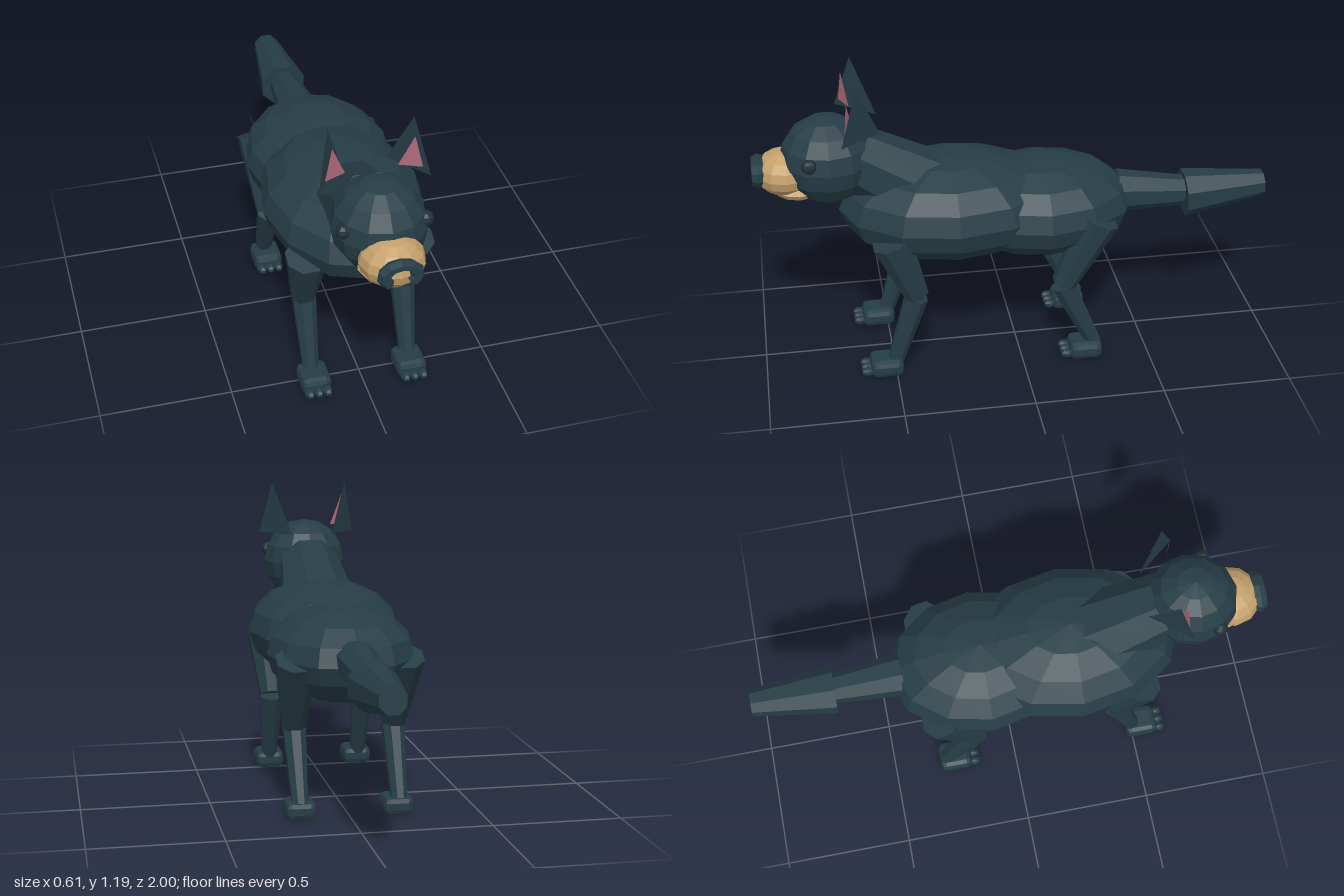
import * as THREE from 'three';
import { RoundedBoxGeometry } from 'three/addons/geometries/RoundedBoxGeometry.js';

const material = (name, color, side = THREE.FrontSide) => {
  const m = new THREE.MeshStandardMaterial({ color, side, flatShading: true });
  m.name = name;
  return m;
};

export function createModel() {
  const model = new THREE.Group();
  model.name = 'dog';
  const coat = material('coat', 0x263d46);
  const earCoat = material('earCoat', 0x263d46, THREE.DoubleSide);
  const dark = material('eyeDark', 0x1f3038);
  const tan = material('muzzleTan', 0xc4a06c);
  const pink = material('innerEar', 0xb06a7c, THREE.DoubleSide);

  const add = (parent, name, geometry, mat) => {
    const mesh = new THREE.Mesh(geometry, mat);
    mesh.name = name;
    parent.add(mesh);
    return mesh;
  };

  // Faceted ellipsoid
  const blob = (parent, name, pos, radii, mat, w = 12, h = 8) => {
    const mesh = add(parent, name, new THREE.SphereGeometry(1, w, h), mat);
    mesh.position.set(...pos);
    mesh.scale.set(...radii);
    return mesh;
  };

  // Tapered limb between two points, r0 at the start and r1 at the end
  const limb = (parent, name, from, to, r0, r1, sides = 8) => {
    const a = new THREE.Vector3(...from), b = new THREE.Vector3(...to);
    const dir = b.clone().sub(a);
    const geometry = new THREE.CylinderGeometry(r1, r0, dir.length(), sides);
    geometry.rotateY(Math.PI / sides);
    const mesh = add(parent, name, geometry, coat);
    mesh.position.copy(a).add(b).multiplyScalar(0.5);
    mesh.quaternion.setFromUnitVectors(new THREE.Vector3(0, 1, 0), dir.normalize());
    return mesh;
  };

  // Single flat triangle
  const triangle = (parent, name, points, mat) => {
    const geometry = new THREE.BufferGeometry();
    geometry.setAttribute('position', new THREE.Float32BufferAttribute(points.flat(), 3));
    geometry.computeVertexNormals();
    return add(parent, name, geometry, mat);
  };

  // Body and neck
  blob(model, 'chest', [0, 0.637, 0.25], [0.305, 0.2, 0.43], coat);
  blob(model, 'hindBody', [0, 0.607, -0.1], [0.287, 0.185, 0.36], coat);
  limb(model, 'neck', [0, 0.7, 0.36], [0, 0.86, 0.62], 0.16, 0.125);

  // Two-part tail
  limb(model, 'tailBase', [0, 0.625, -0.4], [0, 0.603, -0.67], 0.085, 0.06);
  limb(model, 'tailTip', [0, 0.592, -0.675], [0, 0.61, -0.998], 0.096, 0.052);

  // Head, muzzle and horseshoe nose
  const head = new THREE.Group();
  head.name = 'head';
  model.add(head);
  blob(head, 'skull', [0, 0.86, 0.712], [0.172, 0.172, 0.18], coat);
  blob(head, 'muzzle', [0, 0.818, 0.87], [0.118, 0.088, 0.115], tan, 12, 8);
  blob(head, 'lowerJaw', [0, 0.757, 0.825], [0.106, 0.042, 0.105], tan, 12, 6);
  const arc = Math.PI * 1.5;
  const noseGeometry = new THREE.TorusGeometry(0.058, 0.026, 6, 8, arc);
  noseGeometry.rotateZ(Math.PI / 2 - arc / 2);
  const nose = add(head, 'nose', noseGeometry, coat);
  nose.position.set(0, 0.826, 0.972);
  nose.scale.set(1, 0.72, 1.05);

  for (const s of [1, -1]) {
    const side = s > 0 ? 'left' : 'right';
    blob(head, side + 'Eye', [s * 0.147, 0.9, 0.785], [0.028, 0.028, 0.03], dark, 8, 6);

    // Ears turned inward, with a pink inner face standing just in front
    triangle(head, side + 'Ear',
      [[s * 0.083, 0.987, 0.518], [s * 0.2, 0.987, 0.667], [s * 0.154, 1.197, 0.603]], earCoat);
    triangle(head, side + 'InnerEar',
      [[s * 0.095, 1.018, 0.617], [s * 0.175, 1.018, 0.652], [s * 0.147, 1.14, 0.64]], pink);

    // Legs: hip, knee and ankle points, and foot centre along z
    const legs = [
      { name: 'Front', hip: [0.203, 0.595, 0.5], knee: [0.195, 0.345, 0.41], ankleZ: 0.5, footZ: 0.537, r: 0.08 },
      { name: 'Hind', hip: [0.2, 0.62, -0.292], knee: [0.195, 0.34, -0.16], ankleZ: -0.285, footZ: -0.25, r: 0.085 },
    ];
    for (const { name, hip, knee, ankleZ, footZ, r } of legs) {
      const leg = new THREE.Group();
      leg.name = side + name + 'Leg';
      model.add(leg);
      const flip = ([x, y, z]) => [s * x, y, z];
      limb(leg, 'upperLeg', flip(knee), flip(hip), 0.048, r);
      limb(leg, 'lowerLeg', [s * 0.191, 0.06, ankleZ], [s * 0.193, 0.335, knee[2] + 0.003], 0.032, 0.047);
      const foot = add(leg, 'foot', new RoundedBoxGeometry(0.115, 0.07, 0.128, 1, 0.022), coat);
      foot.position.set(s * 0.188, 0.04, footZ);
      for (const t of [-1, 0, 1]) {
        blob(leg, 'toe', [s * 0.188 + t * 0.034, 0.03, footZ + 0.076], [0.019, 0.018, 0.027], coat, 6, 5);
      }
    }
  }
  return model;
}
